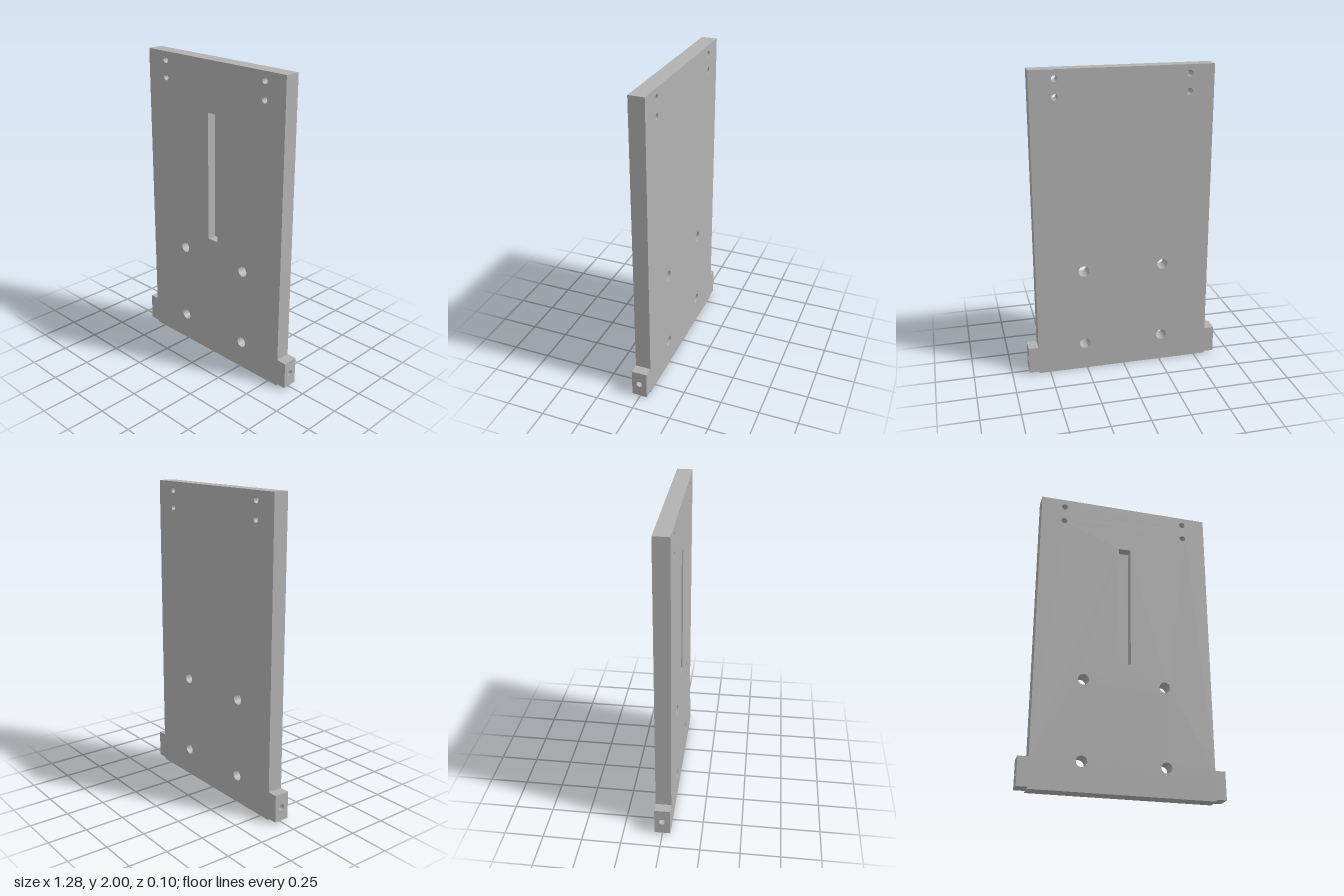
import * as THREE from 'three';

const HALF = 0.05;            // half plate thickness
const W = 0.575, TAB = 0.64;  // half widths of plate and tabs
const TAB_LOW = 0.012, TAB_HIGH = 0.19;
const POCKET_FLOOR = -0.01;
const SEG = 32;

// plate outline, counter-clockwise
const outline = [
  [-W, 0], [W, 0], [W, TAB_LOW], [TAB, TAB_LOW], [TAB, TAB_HIGH], [W, TAB_HIGH],
  [W, 2], [-W, 2], [-W, TAB_HIGH], [-TAB, TAB_HIGH], [-TAB, TAB_LOW], [-W, TAB_LOW],
];
// pocket outline, clockwise so its walls face inwards
const pocket = [[-0.04, 0.835], [-0.04, 1.675], [0.04, 1.675], [0.04, 0.835]];
// through holes for the right half: x, y, radius
const holes = [[0.418, 1.945, 0.02], [0.418, 1.835, 0.02], [0.263, 0.703, 0.035], [0.263, 0.185, 0.035]];

const toVectors = (pts) => pts.map(([x, y]) => new THREE.Vector2(x, y));

function circlePath(x, y, r) {
  return new THREE.Path().absarc(x, y, r, 0, Math.PI * 2, true);
}

// straight walls along a closed outline; the tab ends are made separately
function wallGeometry(pts, z0, z1) {
  const pos = [];
  pts.forEach(([ax, ay], i) => {
    const [bx, by] = pts[(i + 1) % pts.length];
    if (Math.abs(ax) === TAB && ax === bx) return;
    pos.push(ax, ay, z0, bx, by, z0, bx, by, z1, ax, ay, z0, bx, by, z1, ax, ay, z1);
  });
  const geo = new THREE.BufferGeometry();
  geo.setAttribute('position', new THREE.Float32BufferAttribute(pos, 3));
  geo.computeVertexNormals();
  return geo;
}

// inward-facing round wall along y
function boreGeometry(r, y0, y1) {
  return new THREE.LatheGeometry([new THREE.Vector2(r, y1), new THREE.Vector2(r, y0)], SEG);
}

export function createModel() {
  const model = new THREE.Group();
  model.name = 'mountingPlate';
  const metal = new THREE.MeshStandardMaterial({ color: 0xb2b2b2 });
  metal.name = 'plainGrey';

  const add = (name, geo, x = 0, y = 0, z = 0) => {
    const mesh = new THREE.Mesh(geo, metal);
    mesh.name = name;
    mesh.position.set(x, y, z);
    model.add(mesh);
  };

  // front and back faces, the front one opened for the pocket
  const face = (withPocket) => {
    const shape = new THREE.Shape(toVectors(outline));
    for (const s of [1, -1]) for (const [x, y, r] of holes) shape.holes.push(circlePath(s * x, y, r));
    if (withPocket) shape.holes.push(new THREE.Path(toVectors(pocket)));
    return new THREE.ShapeGeometry(shape, SEG);
  };
  add('frontFace', face(true), 0, 0, HALF);
  add('backFace', face(false).rotateY(Math.PI), 0, 0, -HALF);
  add('plateEdges', wallGeometry(outline, -HALF, HALF));

  // blind slot in the front
  add('pocketWalls', wallGeometry(pocket, POCKET_FLOOR, HALF));
  add('pocketFloor', new THREE.PlaneGeometry(0.08, 0.84), 0, 1.255, POCKET_FLOOR);

  for (const s of [1, -1]) {
    const side = s > 0 ? 'left' : 'right';

    // through holes
    for (const [x, y, r] of holes) {
      add(side + 'ThroughHole', boreGeometry(r, -HALF, HALF).rotateX(Math.PI / 2), s * x, y, 0);
    }

    // tab end with a blind hole drilled inwards
    const boreY = 0.1, boreR = 0.02, depth = 0.15;
    const end = new THREE.Shape(toVectors([
      [-HALF, TAB_LOW], [HALF, TAB_LOW], [HALF, TAB_HIGH], [-HALF, TAB_HIGH],
    ]));
    end.holes.push(circlePath(0, boreY, boreR));
    add(side + 'TabEnd', new THREE.ShapeGeometry(end, SEG).rotateY(s * Math.PI / 2), s * TAB);
    add(side + 'TabBore', boreGeometry(boreR, -depth, 0).rotateZ(-s * Math.PI / 2), s * TAB, boreY, 0);
    add(side + 'TabBoreFloor', new THREE.CircleGeometry(boreR, SEG).rotateY(s * Math.PI / 2),
      s * (TAB - depth), boreY, 0);
  }
  return model;
}
